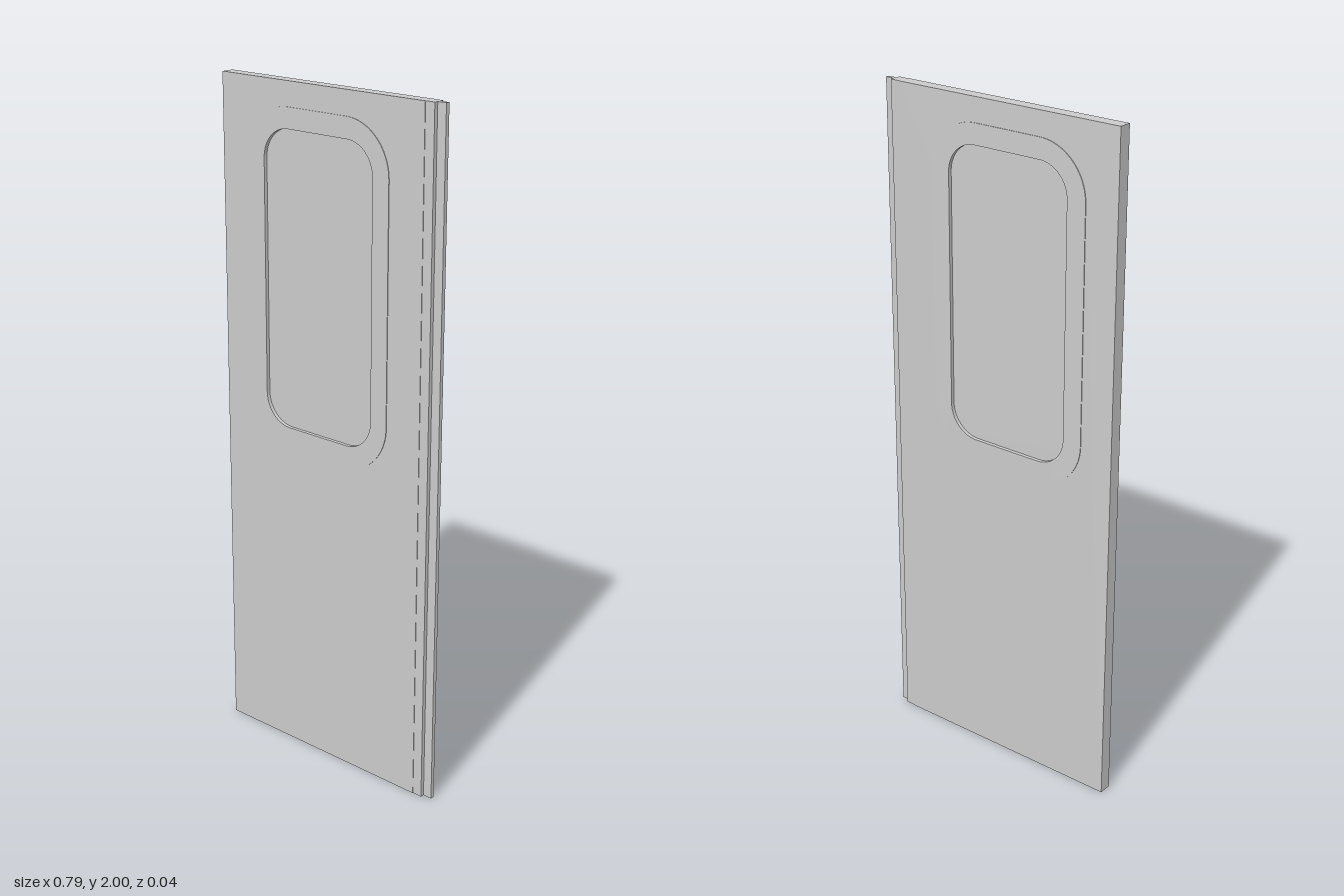
import * as THREE from 'three';

const material = new THREE.MeshStandardMaterial({ color: 0xcccccc });

// Rounded rectangle outline, usable as shape or hole
function roundedRect(Type, x0, x1, y0, y1, r) {
  const p = new Type();
  p.moveTo(x0 + r, y0);
  p.lineTo(x1 - r, y0);
  p.absarc(x1 - r, y0 + r, r, -Math.PI / 2, 0);
  p.lineTo(x1, y1 - r);
  p.absarc(x1 - r, y1 - r, r, 0, Math.PI / 2);
  p.lineTo(x0 + r, y1);
  p.absarc(x0 + r, y1 - r, r, Math.PI / 2, Math.PI);
  p.lineTo(x0, y0 + r);
  p.absarc(x0 + r, y0 + r, r, Math.PI, Math.PI * 1.5);
  return p;
}

const windowOuter = (Type) => roundedRect(Type, -0.293, 0.22, 0.947, 1.93, 0.15);
const windowInner = (Type) => roundedRect(Type, -0.234, 0.163, 1.01, 1.87, 0.09);

export function createModel() {
  const model = new THREE.Group();
  model.name = 'slidingDoor';

  const add = (name, geometry) => {
    const mesh = new THREE.Mesh(geometry, material);
    mesh.name = name;
    model.add(mesh);
    return mesh;
  };

  // Slab centred on z = 0
  const slab = (name, shape, depth) => {
    const geometry = new THREE.ExtrudeGeometry(shape, { depth, bevelEnabled: false, curveSegments: 10 });
    geometry.translate(0, 0, -depth / 2);
    return add(name, geometry);
  };

  // Full-height strip between two x positions
  const strip = (name, x0, x1, depth) =>
    add(name, new THREE.BoxGeometry(x1 - x0, 2, depth)).position.set((x0 + x1) / 2, 1, 0);

  // Door leaf with window opening
  const leaf = new THREE.Shape();
  leaf.moveTo(-0.394, 0);
  leaf.lineTo(0.336, 0);
  leaf.lineTo(0.336, 2);
  leaf.lineTo(-0.394, 2);
  leaf.closePath();
  leaf.holes.push(windowOuter(THREE.Path));
  slab('doorPanel', leaf, 0.038);

  // Raised window surround and recessed pane
  const frame = windowOuter(THREE.Shape);
  frame.holes.push(windowInner(THREE.Path));
  slab('windowFrame', frame, 0.042);
  slab('windowPane', windowInner(THREE.Shape), 0.02);

  // Stepped closing edge
  strip('edgeSeal', 0.336, 0.366, 0.035);
  strip('edgeTongue', 0.366, 0.394, 0.012);

  return model;
}
